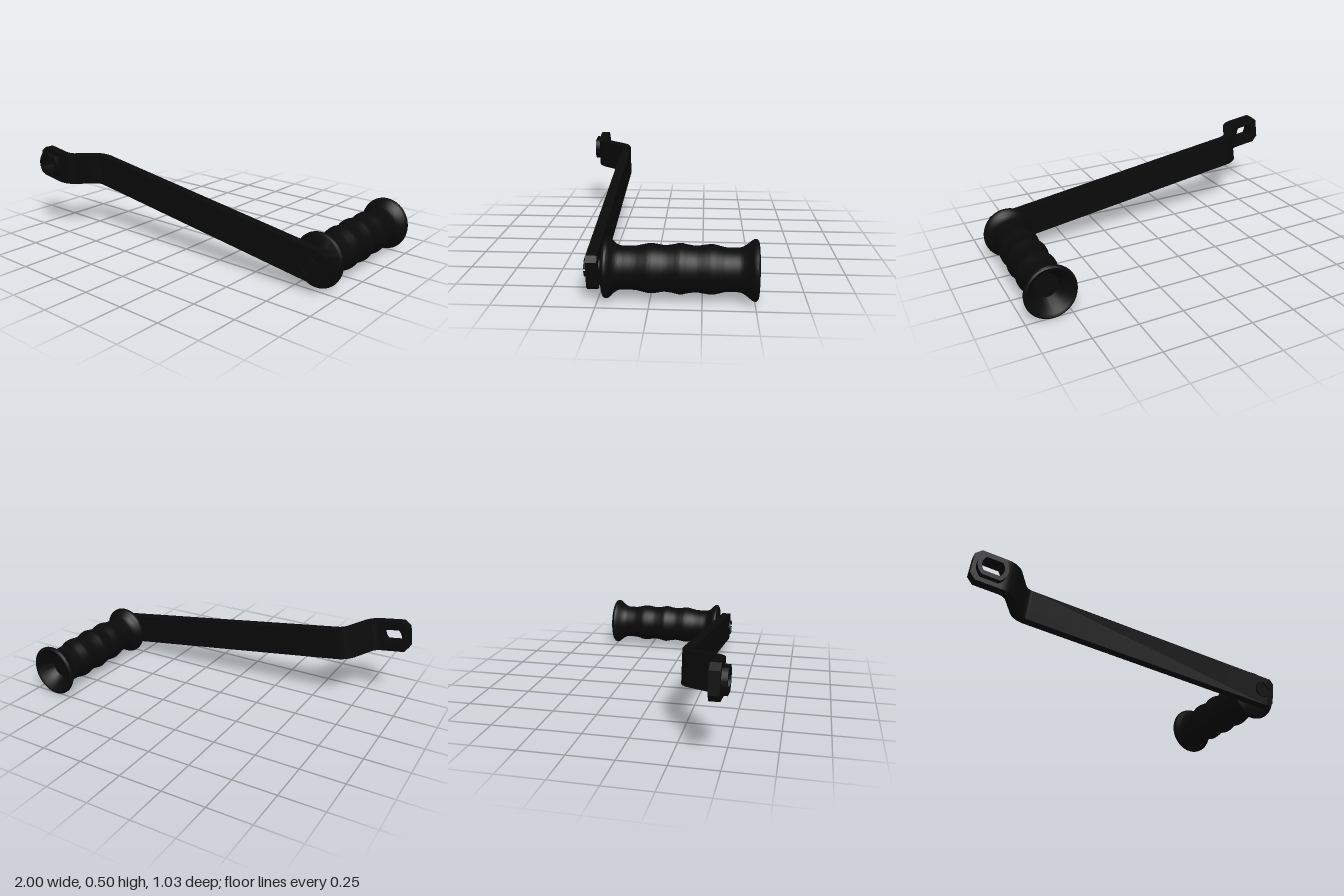
import * as THREE from 'three';
import { toCreasedNormals } from 'three/addons/utils/BufferGeometryUtils.js';

const HALF_WIDTH = 0.09, HALF_THICK = 0.027;
const Z_MAIN = 0.273, Z_LOW = 0.458;
const HOLE_X = -1.768;

const material = new THREE.MeshStandardMaterial({ color: 0x0a0a0a, side: THREE.DoubleSide });

function part(name, geometry, crease = 0.6) {
  const mesh = new THREE.Mesh(toCreasedNormals(geometry, crease), material);
  mesh.name = name;
  return mesh;
}

function extrude(shape, zBack, depth) {
  return new THREE.ExtrudeGeometry(shape, { depth, bevelEnabled: false, curveSegments: 16 })
    .translate(0, 0, zBack);
}

// Circle with flattened top and bottom
function doubleD(PathType, x, radius, half) {
  const a = Math.asin(half / radius);
  const path = new PathType();
  path.absarc(x, 0, radius, -a, a, false);
  path.absarc(x, 0, radius, Math.PI - a, Math.PI + a, false);
  path.closePath();
  return path;
}

// Flat plate from the joint at x0 to a chamfered end at x1
function endPlate(x0, x1, chamfer) {
  const c = Math.sign(x1 - x0) * chamfer, w = HALF_WIDTH;
  return new THREE.Shape([
    [x0, -w], [x1 - c, -w], [x1, -w + chamfer], [x1, w - chamfer], [x1 - c, w], [x0, w],
  ].map(([x, y]) => new THREE.Vector2(x, y)));
}

// Side profile of the bar with its two rounded bends
function bentBar() {
  const R = 0.08, turn = Math.PI / 3, t = R * Math.tan(turn / 2), n = 10;
  const xLow = -1.652, xHigh = xLow + (Z_LOW - Z_MAIN) / Math.tan(turn);
  const center = [];
  for (let i = 0; i <= n; i++) {
    const a = turn * i / n;
    center.push([xLow - t + R * Math.sin(a), Z_LOW - R * (1 - Math.cos(a)), a]);
  }
  for (let i = 0; i <= n; i++) {
    const a = turn * (1 - i / n);
    center.push([xHigh + t - R * Math.sin(a), Z_MAIN + R * (1 - Math.cos(a)), a]);
  }
  center.push([0.04, Z_MAIN, 0]);
  const offset = (d) => center.map(([x, z, a]) =>
    new THREE.Vector2(x + d * Math.sin(a), z + d * Math.cos(a)));
  const shape = new THREE.Shape([...offset(-HALF_THICK), ...offset(HALF_THICK).reverse()]);
  return extrude(shape, -HALF_WIDTH, 2 * HALF_WIDTH).rotateX(Math.PI / 2);
}

// Oval grip with finger waves, flared ends and a dished far end
function grip() {
  const outer = new THREE.SplineCurve([
    [0.14, -0.515], [0.149, -0.508], [0.151, -0.498], [0.144, -0.484], [0.121, -0.455],
    [0.109, -0.43], [0.107, -0.4], [0.108, -0.36], [0.115, -0.33], [0.122, -0.298],
    [0.119, -0.265], [0.113, -0.222], [0.118, -0.18], [0.125, -0.146], [0.118, -0.11],
    [0.113, -0.07], [0.119, -0.03], [0.122, 0], [0.115, 0.035], [0.108, 0.07],
    [0.107, 0.11], [0.108, 0.145], [0.121, 0.17], [0.143, 0.192], [0.151, 0.206],
    [0.148, 0.219], [0.138, 0.225],
  ].map(([r, z]) => new THREE.Vector2(r, z))).getPoints(130);
  const v = (r, z) => new THREE.Vector2(r, z);
  const profile = [v(0, -0.43), v(0.07, -0.43), v(0.085, -0.455), v(0.125, -0.51), ...outer, v(0, 0.222)];
  return new THREE.LatheGeometry(profile, 56).rotateX(Math.PI / 2).scale(0.93, 1, 1);
}

function disc(rBack, rFront, z0, z1) {
  return new THREE.CylinderGeometry(rFront, rBack, z1 - z0, 32)
    .rotateX(Math.PI / 2).translate(0, 0, (z0 + z1) / 2);
}

// Screw head: thin disc with four raised sectors leaving a cross slot
function screwHead() {
  const group = new THREE.Group();
  group.name = 'screwHead';
  group.add(part('screwBase', disc(0.042, 0.046, 0.298, 0.306)));
  const gap = 0.005, r = 0.048, a = Math.asin(gap / r);
  const sector = new THREE.Shape();
  sector.moveTo(gap, gap);
  sector.absarc(0, 0, r, a, Math.PI / 2 - a, false);
  sector.closePath();
  for (let i = 0; i < 4; i++) {
    const mesh = part('screwSector', extrude(sector, 0.305, 0.011));
    mesh.rotation.z = i * Math.PI / 2 + 0.1435;
    group.add(mesh);
  }
  return group;
}

export function createModel() {
  const model = new THREE.Group();
  model.name = 'crankHandle';

  // Everything is built level around the grip axis, then tilted
  const crank = new THREE.Group();
  crank.name = 'crank';
  crank.position.set(0.859, 0.153, 0);
  crank.rotation.z = -0.1435;
  model.add(crank);

  // Arm
  crank.add(part('arm', bentBar()));
  crank.add(part('armOuterEnd', extrude(endPlate(0.04, 0.082, 0.025), Z_MAIN - HALF_THICK, 2 * HALF_THICK)));

  // Mounting end with a flat-sided hole and raised boss
  const mount = endPlate(-1.698, -1.868, 0.033);
  mount.holes.push(doubleD(THREE.Path, HOLE_X, 0.058, 0.04));
  crank.add(part('mountPlate', extrude(mount, Z_LOW - HALF_THICK, 2 * HALF_THICK)));
  const boss = doubleD(THREE.Shape, HOLE_X, 0.08, 0.065);
  boss.holes.push(doubleD(THREE.Path, HOLE_X, 0.058, 0.04));
  crank.add(part('mountBoss', extrude(boss, Z_LOW + HALF_THICK - 0.004, 0.034)));

  // Grip, its axle and the screw
  crank.add(part('grip', grip(), 0.8));
  crank.add(part('axle', disc(0.0475, 0.0475, 0.2, 0.25)));
  crank.add(screwHead());

  return model;
}
